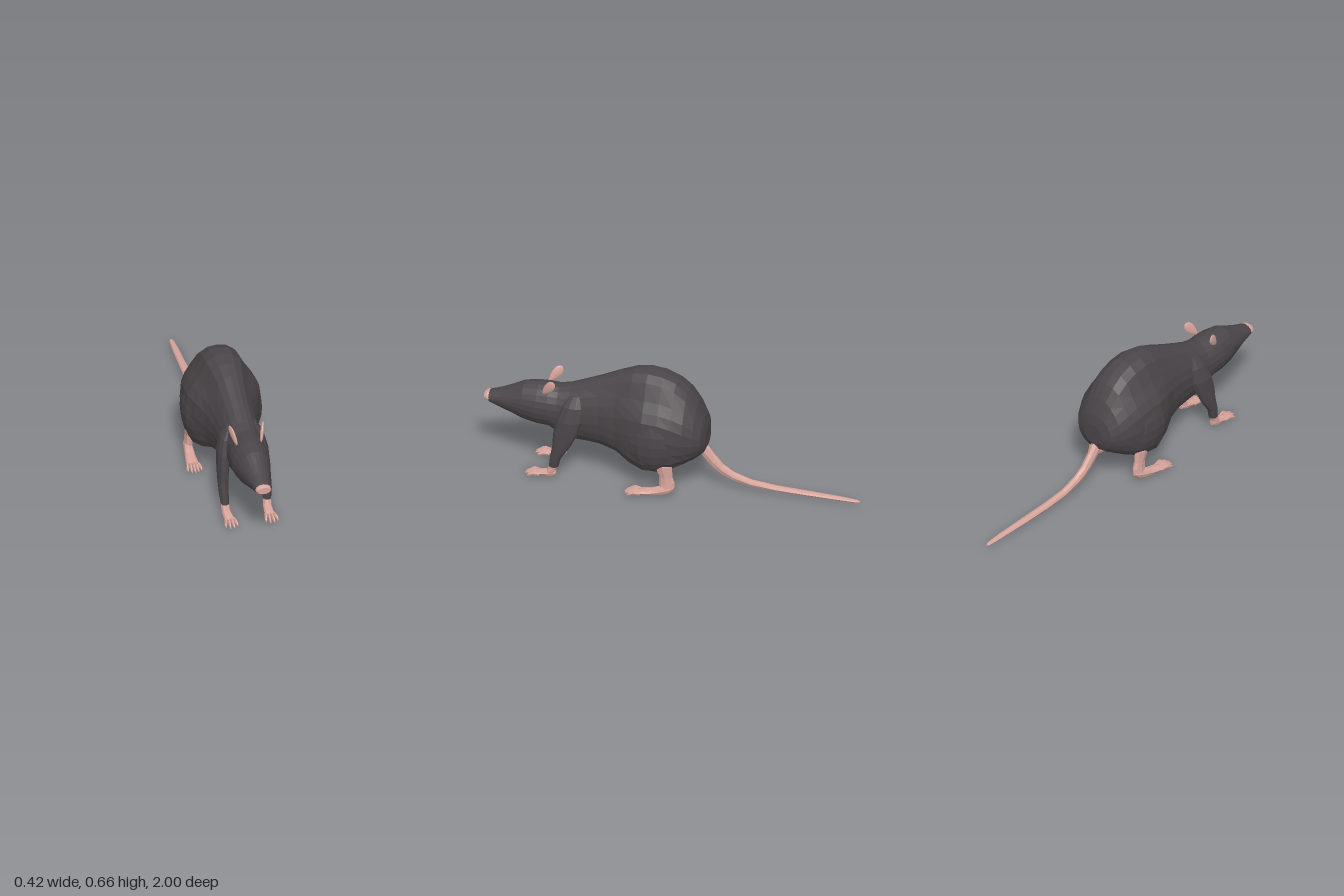
import * as THREE from 'three';

const fur = new THREE.MeshStandardMaterial({ color: 0x4b4649, flatShading: true });
const skin = new THREE.MeshStandardMaterial({ color: 0xd6a49b, flatShading: true });

// Skin a row of rings and close both ends
function loft(rings) {
  const n = rings[0].length, pos = [], idx = [];
  rings.forEach(r => r.forEach(p => pos.push(...p)));
  for (let j = 0; j < rings.length - 1; j++) {
    for (let i = 0; i < n; i++) {
      const a = j * n + i, b = j * n + (i + 1) % n;
      idx.push(a, b, b + n, a, b + n, a + n);
    }
  }
  [0, rings.length - 1].forEach(j => {
    const c = pos.length / 3, mid = [0, 1, 2].map(k => rings[j].reduce((s, p) => s + p[k], 0) / n);
    pos.push(...mid);
    for (let i = 0; i < n; i++) {
      const a = j * n + i, b = j * n + (i + 1) % n;
      if (j === 0) idx.push(c, b, a); else idx.push(c, a, b);
    }
  });
  const g = new THREE.BufferGeometry();
  g.setAttribute('position', new THREE.Float32BufferAttribute(pos, 3));
  g.setIndex(idx);
  g.computeVertexNormals();
  return g;
}

const around = (n, f) => Array.from({ length: n }, (_, i) => f(Math.cos(i / n * 2 * Math.PI), Math.sin(i / n * 2 * Math.PI)));
// Upright ring (rows run toward +z) and level ring (rows run upward)
const zRing = n => ([x, y, z, rx, ry]) => around(n, (c, s) => [x + rx * c, y + ry * s, z]);
const yRing = n => ([x, y, z, rx, rz]) => around(n, (c, s) => [x + rx * s, y, z + rz * c]);

// Half section of the heavy hindquarters, bottom to top
const pear = [[0, -1], [.42, -1], [.8, -.93], [.92, -.72], [.97, -.4], [1, 0],
  [.945, .3], [.82, .45], [.65, .61], [.44, .88], [.24, .98], [0, 1]];

// Body ring: blends a round section into the pear section by k
function bodyRing([z, w, top, bottom, mid, k]) {
  const half = pear.map(([px, py], i) => {
    const a = (i / (pear.length - 1) - 0.5) * Math.PI;
    const x = THREE.MathUtils.lerp(Math.cos(a), px, k), t = THREE.MathUtils.lerp(Math.sin(a), py, k);
    return [x * w, mid + t * (t > 0 ? top - mid : mid - bottom), z];
  });
  const other = half.slice(1, -1).reverse().map(([x, y, zz]) => [-x, y, zz]);
  return [...half, ...other];
}

export function createModel() {
  const model = new THREE.Group();
  const add = (name, geometry, material, parent = model) => {
    const m = new THREE.Mesh(geometry, material);
    m.name = name;
    parent.add(m);
    return m;
  };

  // Body and head: z, half width, top, bottom, widest height, pear amount
  add('body', loft([
    [-.19, .06, .36, .25, .3, 0],
    [-.175, .115, .42, .215, .31, .1],
    [-.14, .15, .5, .19, .32, .3],
    [-.09, .178, .57, .165, .33, .5],
    [-.03, .195, .62, .145, .335, .8],
    [.04, .202, .648, .13, .34, .95],
    [.12, .203, .658, .125, .34, 1],
    [.2, .175, .648, .145, .345, .9],
    [.28, .14, .62, .18, .35, .6],
    [.37, .118, .58, .19, .36, .3],
    [.46, .108, .542, .19, .36, .1],
    [.54, .1, .51, .19, .36, 0],
    [.6, .096, .495, .215, .365, 0],
    [.65, .1, .498, .252, .37, 0],
    [.71, .1, .497, .262, .37, .15],
    [.79, .087, .485, .277, .375, .15],
    [.85, .071, .455, .3, .375, .15],
    [.91, .054, .428, .317, .375, 0],
    [.975, .041, .405, .343, .375, 0],
  ].map(bodyRing)), fur);

  // Nose pad
  add('nose', loft([
    [0, .374, .965, .041, .03], [0, .376, .985, .042, .029], [0, .378, 1, .034, .019],
  ].map(zRing(12))), skin);

  // Tail, from tip to root
  add('tail', loft([
    [0, .019, -1, .005, .004], [0, .021, -.985, .012, .007], [0, .025, -.9, .017, .01],
    [0, .031, -.72, .021, .012], [0, .037, -.55, .021, .015], [0, .05, -.42, .02, .019],
    [0, .076, -.33, .02, .024], [0, .108, -.27, .021, .032], [0, .155, -.22, .022, .045],
    [0, .205, -.18, .025, .052], [0, .25, -.14, .03, .045],
  ].map(zRing(8))), skin);

  for (const s of [1, -1]) {
    const side = s > 0 ? 'left' : 'right';
    const rows = (list, ring) => loft(list.map(([x, ...rest]) => ring([s * x, ...rest])));

    // Foot with toes fanned across its front edge
    const foot = (name, list, toes) => {
      const g = new THREE.Group();
      g.name = side + name;
      model.add(g);
      add('paw', rows(list, zRing(8)), skin, g);
      const { x, z, spread, length, count } = toes;
      for (let i = 0; i < count; i++) {
        const u = i / (count - 1) * 2 - 1, l = length * (1 - .3 * u * u);
        add('toe', rows([
          [x + u * spread * .65, .014, z - .02, .009, .011],
          [x + u * spread * .85, .018, z + l * .35, .008, .012],
          [x + u * spread, .012, z + l * .75, .007, .01],
          [x + u * spread * 1.03, .007, z + l, .003, .005],
        ], zRing(6)), skin, g);
      }
    };

    // Foreleg
    add(side + 'Foreleg', rows([
      [.112, .066, .607, .022, .025], [.115, .12, .597, .025, .029], [.113, .19, .567, .028, .047],
      [.109, .26, .548, .031, .063], [.102, .34, .525, .034, .07], [.088, .42, .51, .028, .058],
      [.072, .475, .5, .01, .03],
    ], yRing(10)), fur);
    add(side + 'Wrist', rows([
      [.11, .015, .635, .022, .025], [.111, .04, .62, .023, .025], [.112, .072, .606, .021, .023],
    ], yRing(8)), skin);
    foot('Forefoot', [
      [.11, .03, .595, .014, .015], [.11, .027, .62, .022, .024], [.108, .02, .66, .025, .018],
      [.107, .015, .7, .027, .013],
    ], { x: .107, z: .7, spread: .03, length: .06, count: 4 });

    // Haunch and hind leg
    const haunch = add(side + 'Haunch', new THREE.SphereGeometry(1, 14, 10), fur);
    haunch.scale.set(.09, .18, .155);
    haunch.position.set(s * .122, .305, .07);
    add(side + 'Ankle', rows([
      [.157, .03, 0, .02, .025], [.155, .05, -.008, .023, .042], [.153, .08, -.008, .022, .042],
      [.153, .115, -.002, .021, .036], [.152, .18, .015, .028, .05],
    ], yRing(8)), skin);
    foot('Hindfoot', [
      [.156, .055, -.045, .012, .012], [.157, .045, -.02, .022, .027], [.16, .033, .02, .025, .028],
      [.164, .022, .07, .028, .02], [.167, .017, .12, .032, .015], [.168, .014, .145, .033, .012],
    ], { x: .168, z: .145, spread: .035, length: .068, count: 5 });

    // Ear: a thin leaf leaning up, out and back
    const ear = new THREE.SphereGeometry(1, 10, 8), p = ear.attributes.position;
    for (let i = 0; i < p.count; i++) {
      const y = p.getY(i), w = .72 + .28 * y;
      p.setXYZ(i, p.getX(i) * .01, y * .056, p.getZ(i) * .034 * w);
    }
    ear.computeVertexNormals();
    const earMesh = add(side + 'Ear', ear, skin);
    earMesh.position.set(s * .077, .505, .645);
    earMesh.rotation.set(-.62, s * -.35, s * -.3, 'ZXY');
  }
  return model;
}
